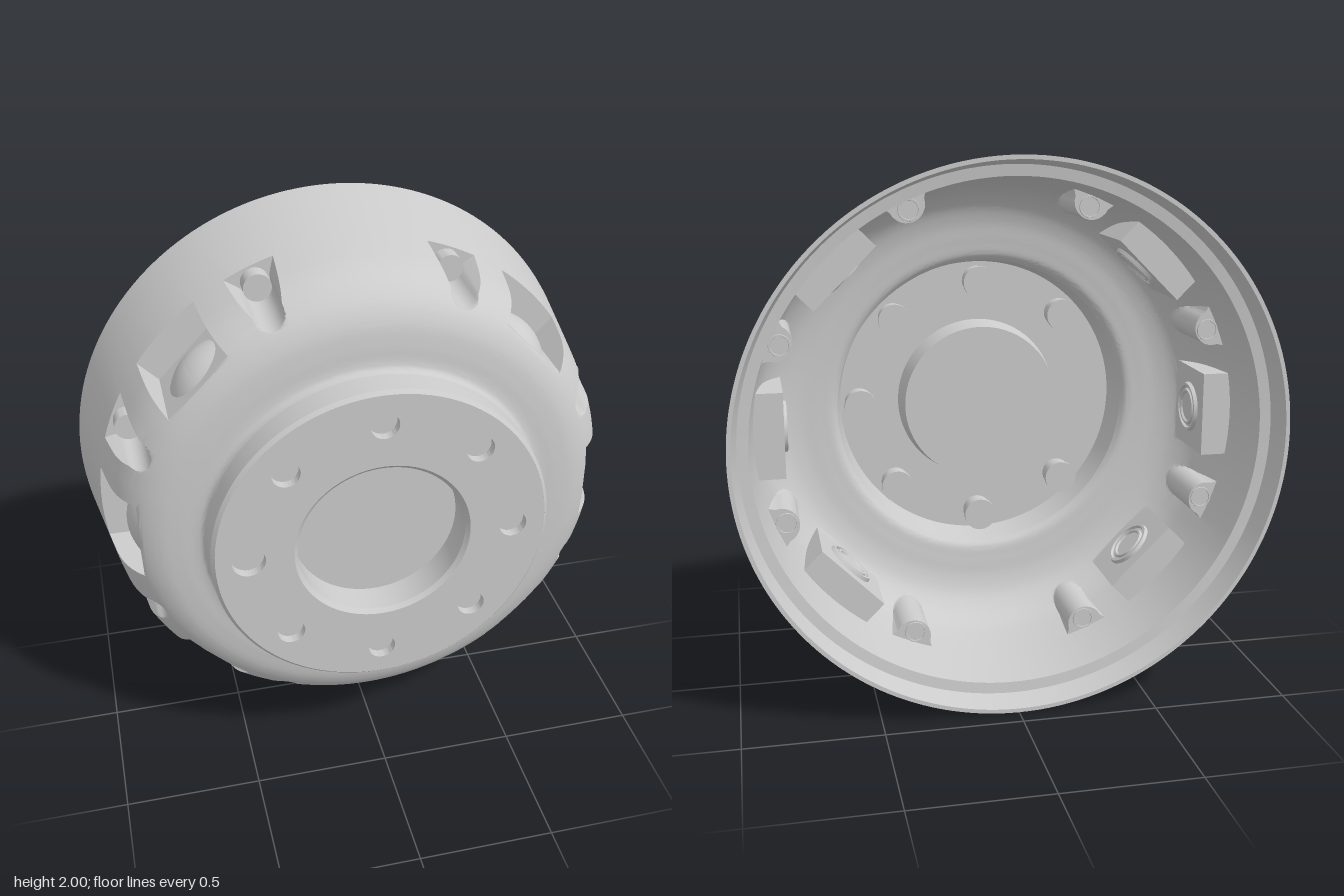
import * as THREE from 'three';
import { toCreasedNormals } from 'three/addons/utils/BufferGeometryUtils.js';

const material = new THREE.MeshStandardMaterial({ color: 0xcccccc, side: THREE.DoubleSide });
const STEP = Math.PI / 8;      // pockets sit every 22.5 degrees
const BOX_SPAN = 0.25;         // half angle of a sector holding a square pocket
const PLAIN = [4, 12];         // top and bottom sectors have no square pocket

function mesh(name, geometry, crease = 0.6) {
  const m = new THREE.Mesh(toCreasedNormals(geometry, crease), material);
  m.name = name;
  return m;
}

// Solid of revolution around z from [radius, z] pairs
function turned(name, points, segments = 96) {
  const g = new THREE.LatheGeometry(points.map(([r, z]) => new THREE.Vector2(r, z)), segments);
  return mesh(name, g.rotateX(Math.PI / 2));
}

// Shell columns: each gives a point (x, y) in its sector for a shell radius R
function shellColumns({ halfWidth, floor, slotRadius }) {
  const columns = [];
  const polar = (r, a) => [r * Math.cos(a), r * Math.sin(a)];
  const c = 0.887, a0 = Math.asin(slotRadius / c);
  const r0 = Math.sqrt(c * c - slotRadius * slotRadius), slope = 1.56;
  for (let k = 0; k < 16; k++) {
    const add = (f) => columns.push({ angle: k * STEP, f });
    if (k % 2 === 0) {
      // square pocket with a flat floor and parallel sides
      const cut = !PLAIN.includes(k);
      const half = (R) => halfWidth * Math.min(1, R / 0.75);
      const side = (s, t) => add((R) =>
        polar(R, s * THREE.MathUtils.lerp(BOX_SPAN, Math.asin(half(R) / R), t)));
      for (let i = 0; i <= 3; i++) side(-1, i / 3);
      for (let i = -4; i <= 4; i++) add((R, on) => {
        const y = half(R) * i / 4, x = Math.sqrt(R * R - y * y);
        return [on && cut ? Math.min(x, floor) : x, y];
      });
      for (let i = 3; i >= 0; i--) side(1, i / 3);
    } else {
      // slot with a round bottom and flared walls
      const wall = (s, t) => add((R, on) => {
        const rise = Math.max(R - r0, 0);
        return polar(on ? Math.min(R, r0 + t * rise) : R, s * (a0 + t * rise / slope));
      });
      for (let i = 4; i > 0; i--) wall(-1, i / 4);
      for (let i = -6; i <= 6; i++) {
        const a = a0 * Math.sin(i / 6 * Math.PI / 2), d = c * Math.sin(a);
        const bottom = c * Math.cos(a) - Math.sqrt(Math.max(slotRadius ** 2 - d * d, 0));
        add((R, on) => polar(on ? Math.min(R, bottom) : R, a));
      }
      for (let i = 1; i <= 4; i++) wall(1, i / 4);
    }
  }
  return columns;
}

// One skin of the drum: plain rows at the back, pocketed rows towards the front
function shellSkin(name, back, front, pocket, flip) {
  const curve = new THREE.CatmullRomCurve3(front.map(([r, z]) => new THREE.Vector3(r, 0, z)));
  const rows = back.map(([r, z]) => ({ r, z, on: false }));
  rows.push({ r: front[0][0], z: front[0][1], on: false });
  for (const p of curve.getSpacedPoints(64)) rows.push({ r: p.x, z: p.z, on: true });
  const columns = shellColumns(pocket);
  const grid = rows.map(({ r, z, on }) => columns.map(({ angle, f }) => {
    const [x, y] = f(r, on), c = Math.cos(angle), s = Math.sin(angle);
    return new THREE.Vector3(x * c - y * s, x * s + y * c, z);
  }));
  const positions = [], tri = new THREE.Triangle();
  const face = (a, b, c) => {
    tri.set(a, b, c);
    if (tri.getArea() < 1e-8) return;
    for (const p of flip ? [a, c, b] : [a, b, c]) positions.push(p.x, p.y, p.z);
  };
  for (let i = 0; i < rows.length - 1; i++) {
    for (let j = 0; j < columns.length; j++) {
      const n = (j + 1) % columns.length;
      face(grid[i][j], grid[i][n], grid[i + 1][j]);
      face(grid[i][n], grid[i + 1][n], grid[i + 1][j]);
    }
  }
  const g = new THREE.BufferGeometry();
  g.setAttribute('position', new THREE.Float32BufferAttribute(positions, 3));
  return mesh(name, g);
}

// Front plate with centre bore and eight bolt holes, one of them larger
function hubPlate() {
  const shape = new THREE.Shape().absarc(0, 0, 0.597, 0, Math.PI * 2);
  const hole = (x, y, r) => shape.holes.push(new THREE.Path().absarc(x, y, r, 0, Math.PI * 2, true));
  hole(0, 0, 0.32);
  for (let i = 0; i < 8; i++) {
    const a = i * Math.PI / 4;
    hole(0.48 * Math.cos(a), 0.48 * Math.sin(a), i === 4 ? 0.06 : 0.05);
  }
  const g = new THREE.ExtrudeGeometry(shape, { depth: 0.035, bevelEnabled: false, curveSegments: 48 });
  return mesh('hubPlate', g.translate(0, 0, 0.395));
}

export function createModel() {
  const group = new THREE.Group();
  group.name = 'wheelDrum';
  const drum = new THREE.Group();
  drum.name = 'drum';
  drum.position.y = 1;
  group.add(drum);

  // Outer and inner skins of the drum
  drum.add(shellSkin('outerShell',
    [[1, -0.43], [0.997, -0.4]],
    [[0.945, -0.06], [0.934, 0.01], [0.92, 0.085], [0.902, 0.14], [0.872, 0.192], [0.828, 0.238],
      [0.77, 0.268], [0.7, 0.281], [0.64, 0.287], [0.618, 0.295], [0.61, 0.315]],
    { halfWidth: 0.15, floor: 0.83, slotRadius: 0.055 }, false));
  drum.add(shellSkin('innerShell',
    [[1, -0.43], [0.985, -0.43], [0.966, -0.335], [0.926, -0.33]],
    [[0.906, -0.09], [0.893, 0.01], [0.878, 0.085], [0.859, 0.13], [0.832, 0.17], [0.787, 0.21],
      [0.725, 0.234], [0.65, 0.245], [0.595, 0.255], [0.575, 0.275]],
    { halfWidth: 0.16, floor: 0.795, slotRadius: 0.067 }, true));

  // Hub
  drum.add(turned('hubRim', [[0.61, 0.315], [0.61, 0.417], [0.597, 0.43]], 128));
  drum.add(hubPlate());
  drum.add(turned('hubBacking', [[0.308, 0.395], [0.555, 0.395], [0.575, 0.275]], 128));
  drum.add(turned('centreCap', [[0, 0.294], [0.306, 0.294], [0.322, 0.395]]));
  drum.add(turned('centreBore', [[0, 0.3], [0.304, 0.3], [0.305, 0.415], [0.32, 0.43]]));

  // Wheel studs standing out behind the hub plate
  for (let i = 0; i < 8; i++) {
    if (i === 4) continue;
    const a = i * Math.PI / 4;
    const stud = turned('wheelStud',
      [[0, 0.31], [0.064, 0.31], [0.064, 0.33], [0.057, 0.33], [0.057, 0.395]], 28);
    stud.position.set(0.48 * Math.cos(a), 0.48 * Math.sin(a), 0);
    drum.add(stud);
  }

  // Fittings in the pockets
  for (let k = 0; k < 16; k++) {
    if (PLAIN.includes(k)) continue;
    const fitting = new THREE.Group();
    fitting.rotation.z = k * STEP;
    if (k % 2) {
      fitting.name = 'slotFitting';
      const bolt = turned('slotBolt', [[0, -0.06], [0.05, -0.06], [0.05, 0], [0, 0]], 28);
      bolt.position.x = 0.887;
      // thin collar on the rear face of the slot
      const collar = turned('slotCollar',
        [[0, -0.091], [0.033, -0.091], [0.034, -0.095], [0.04, -0.095], [0.041, -0.09]], 28);
      collar.position.x = 0.866;
      fitting.add(bolt, collar);
    } else {
      fitting.name = 'pocketFitting';
      // shallow dome outside, ringed boss inside
      const dome = [];
      for (let i = 0; i <= 8; i++) {
        const r = 0.115 * (1 - i / 8);
        dome.push([r, 0.036 * (1 - (r / 0.115) ** 2)]);
      }
      const button = turned('pocketDome', dome, 40);
      button.position.set(0.83, 0, 0.083);
      const ring = turned('pocketRing',
        [[0, -0.006], [0.055, -0.006], [0.06, -0.014], [0.068, -0.014], [0.072, -0.004],
          [0.08, -0.004], [0.084, -0.014], [0.094, -0.014], [0.098, 0]], 40);
      ring.position.set(0.795, 0, 0.06);
      for (const part of [button, ring]) part.rotation.y = Math.PI / 2;
      fitting.add(button, ring);
    }
    drum.add(fitting);
  }
  return group;
}
